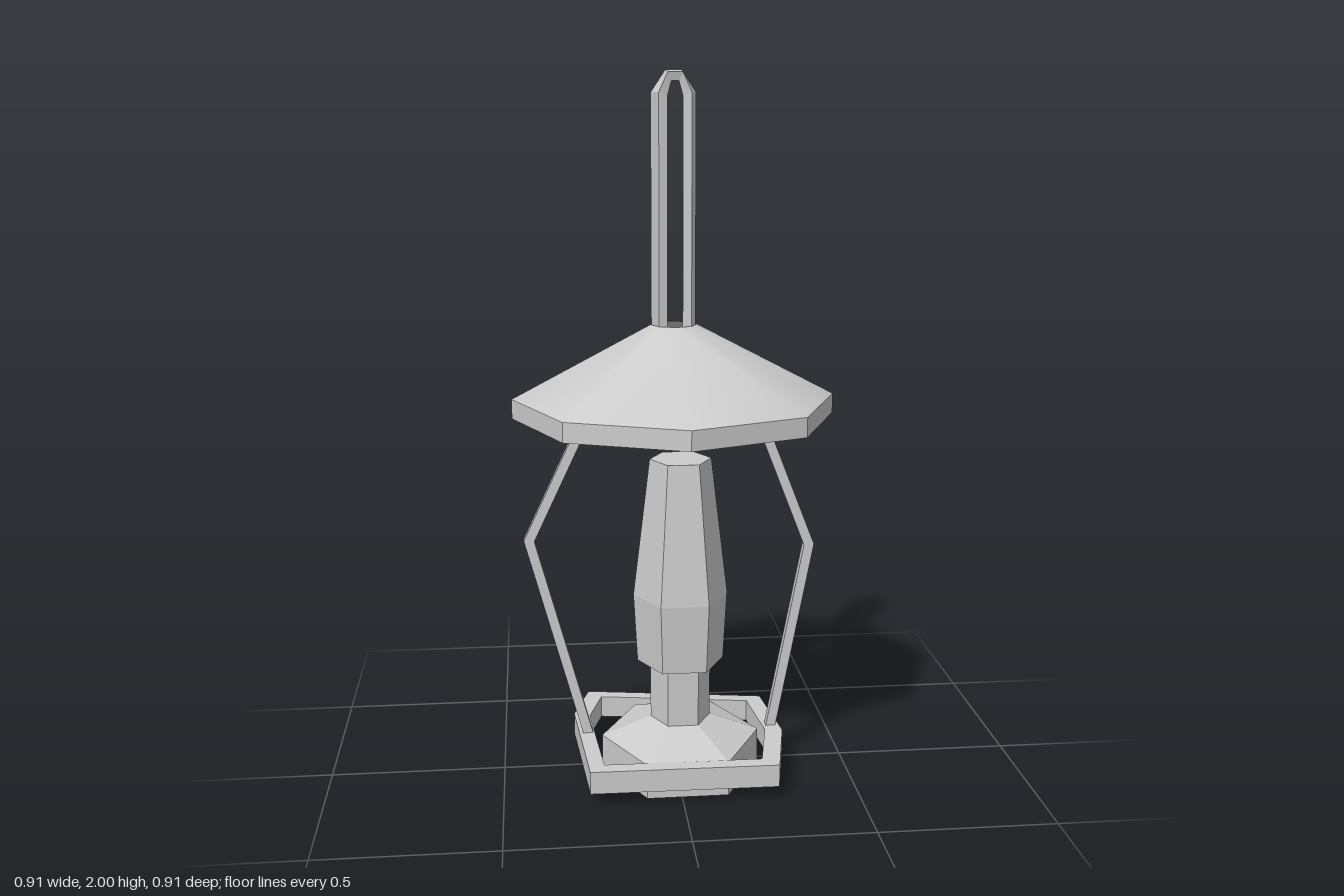
import * as THREE from 'three';

const material = (flat) => new THREE.MeshStandardMaterial({
  color: 0xcccccc, flatShading: flat, side: THREE.DoubleSide,
});

function add(group, name, geometry, flat = true) {
  const mesh = new THREE.Mesh(geometry, material(flat));
  mesh.name = name;
  group.add(mesh);
  return mesh;
}

// Faceted solid of revolution with a corner on the x axis; profile is [radius, y], bottom to top
function turned(profile, sides) {
  const points = profile.map(([r, y]) => new THREE.Vector2(r, y));
  return new THREE.LatheGeometry(points, sides, Math.PI / 2);
}

function extrudeFlat(shape, depth) {
  return new THREE.ExtrudeGeometry(shape, { depth, bevelEnabled: false });
}

// Bar of constant width that follows a bent path in the xy plane, with mitred corners
function bentBar(path, width) {
  const pts = path.map(([x, y]) => new THREE.Vector2(x, y));
  const left = [], right = [];
  pts.forEach((p, i) => {
    const before = p.clone().sub(pts[Math.max(i - 1, 0)]).normalize();
    const after = pts[Math.min(i + 1, pts.length - 1)].clone().sub(p).normalize();
    const d = before.clone().add(after).normalize();
    const cos = Math.max(d.dot(before), d.dot(after));
    const n = new THREE.Vector2(-d.y, d.x).multiplyScalar(width / 2 / cos);
    left.push(p.clone().add(n));
    right.unshift(p.clone().sub(n));
  });
  const geometry = extrudeFlat(new THREE.Shape([...left, ...right]), width);
  return geometry.translate(0, 0, -width / 2);
}

// Narrow arch whose sides taper inwards towards the front
function archGeometry() {
  // Each rail: half width of leg, half width of crown, shoulder y, crown y, z
  const rails = [
    [0.062, 0.022, 1.94, 2.0, -0.01],
    [0.045, 0.02, 1.94, 1.993, 0.046],
    [0.021, 0.01, 1.93, 1.97, 0.04],
    [0.036, 0.014, 1.92, 1.975, -0.01],
  ];
  const positions = [], index = [];
  for (let i = 0; i < 6; i++) {
    const side = i < 3 ? -1 : 1;
    const level = Math.min(i, 5 - i);
    for (const [leg, crown, shoulderY, crownY, z] of rails) {
      positions.push(side * (level === 2 ? crown : leg), [1.3, shoulderY, crownY][level], z);
    }
  }
  for (let i = 0; i < 5; i++) {
    for (let j = 0; j < 4; j++) {
      const a = i * 4 + j, b = i * 4 + (j + 1) % 4;
      index.push(a, a + 4, b, b, a + 4, b + 4);
    }
  }
  const geometry = new THREE.BufferGeometry();
  geometry.setAttribute('position', new THREE.Float32BufferAttribute(positions, 3));
  geometry.setIndex(index);
  geometry.computeVertexNormals();
  return geometry;
}

export function createModel() {
  const lantern = new THREE.Group();
  lantern.name = 'lantern';

  // Hollow eight-sided shade, open below and at the small top hole
  add(lantern, 'shadeCone', turned([[0.455, 1.105], [0.065, 1.31]], 8), false);
  add(lantern, 'shadeRim', turned([[0.455, 1.05], [0.455, 1.105]], 8));

  add(lantern, 'hangingLoop', archGeometry());

  // Six-sided foot, stem and chimney, set a little off centre
  const burner = new THREE.Group();
  burner.name = 'burner';
  burner.position.set(0.017, 0, 0.022);
  burner.scale.z = 1.1;
  lantern.add(burner);
  add(burner, 'footAndStem', turned(
    [[0, 0], [0.23, 0], [0.23, 0.1], [0.087, 0.155], [0.087, 0.33]], 6));
  add(burner, 'chimney', turned(
    [[0, 0.33], [0.125, 0.33], [0.136, 0.53], [0.088, 0.93], [0, 0.93]], 6));

  // Uneven, roughly square base ring around the foot, outlined in [x, z]
  const outline = [[0.27, 0.285], [0.317, 0.05], [0.29, -0.21], [-0.24, -0.3], [-0.29, -0.13], [-0.26, 0.28]]
    .map(([x, z]) => new THREE.Vector2(x, -z));
  const ring = new THREE.Shape(outline);
  ring.holes.push(new THREE.Path(outline.map((p) => p.clone().multiplyScalar(0.84))));
  const ringGeometry = extrudeFlat(ring, 0.065).rotateX(-Math.PI / 2).translate(0, 0.04, 0);
  add(lantern, 'baseRing', ringGeometry);

  // Wire frame that rises from the ring, bends in and crosses under the shade
  add(lantern, 'wireFrame', bentBar([
    [-0.25, 0.09], [-0.415, 0.695], [-0.21, 1.13],
    [0.21, 1.13], [0.393, 0.662], [0.285, 0.09],
  ], 0.028));

  return lantern;
}
